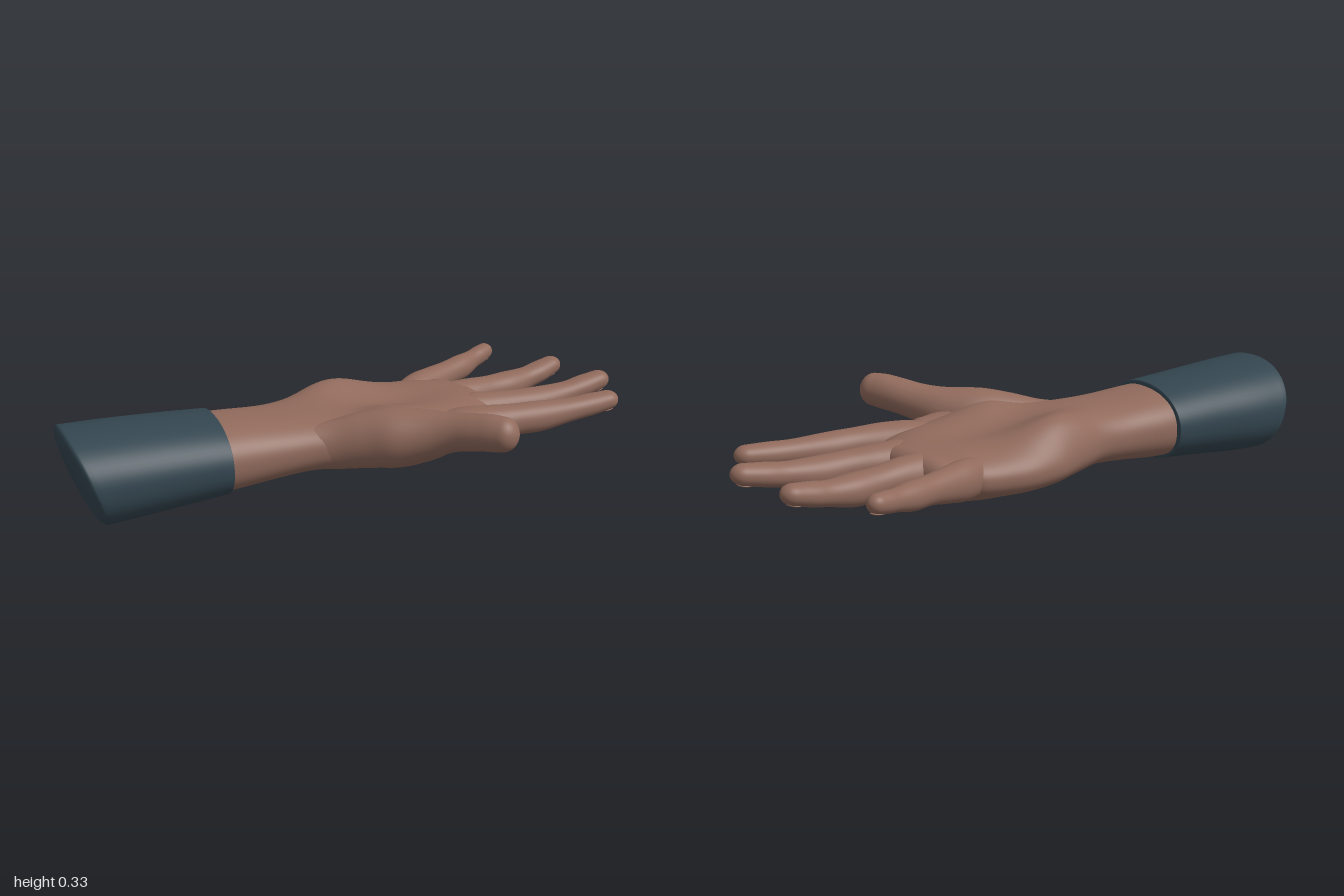
import * as THREE from 'three';

const skin = new THREE.MeshStandardMaterial({ color: 0x906a5c });
skin.name = 'warm brown skin';
const cloth = new THREE.MeshStandardMaterial({ color: 0x33454f });
cloth.name = 'dark slate cloth';

const Y = new THREE.Vector3(0, 1, 0);
const bell = (x, c, s) => Math.exp(-(((x - c) / s) ** 2));

// Smooth closed body through sections [x, y, z, halfWidth, halfHeight, roll],
// with a domed cap at either end and an optional vertex rule.
function loft(name, secs, { mat = skin, power = 2, cap0 = 0.03, cap1 = 0.03, round = 1, steps = 6, sides = 40, warp } = {}) {
  const curve = (f) => new THREE.CatmullRomCurve3(secs.map(f), false, 'catmullrom', 0.5);
  const path = curve((s) => new THREE.Vector3(s[0], s[1], s[2]));
  const size = curve((s) => new THREE.Vector3(s[3], s[4], s[5] || 0));
  const rings = [];
  const capSteps = 8;
  const addCap = (t, len, k) => {
    const a = (k / capSteps) * Math.PI / 2;
    rings.push([t, len * Math.sin(a), Math.max(0.002, Math.cos(a) ** round)]);
  };
  for (let k = capSteps; k > 0; k--) addCap(0, -cap0, k);
  const n = (secs.length - 1) * steps;
  for (let i = 0; i <= n; i++) rings.push([i / n, 0, 1]);
  for (let k = 1; k <= capSteps; k++) addCap(1, cap1, k);

  const pos = [], index = [];
  const sp = (v) => Math.sign(v) * Math.abs(v) ** (2 / power);
  rings.forEach(([t, shift, scale], i) => {
    const T = path.getTangent(t);
    const c = path.getPoint(t).addScaledVector(T, shift);
    const d = size.getPoint(t);
    const S = new THREE.Vector3().crossVectors(T, Y).normalize();
    const U = new THREE.Vector3().crossVectors(S, T);
    S.applyAxisAngle(T, -d.z);
    U.applyAxisAngle(T, -d.z);
    for (let j = 0; j < sides; j++) {
      const a = (j / sides) * Math.PI * 2;
      const v = c.clone()
        .addScaledVector(S, sp(Math.cos(a)) * d.x * scale)
        .addScaledVector(U, sp(Math.sin(a)) * d.y * scale);
      if (warp) warp(v);
      pos.push(v.x, v.y, v.z);
      if (i < rings.length - 1) {
        const p = i * sides + j, q = i * sides + (j + 1) % sides;
        index.push(p, p + sides, q, q, p + sides, q + sides);
      }
    }
  });
  const g = new THREE.BufferGeometry();
  g.setAttribute('position', new THREE.Float32BufferAttribute(pos, 3));
  g.setIndex(index);
  g.computeVertexNormals();
  const m = new THREE.Mesh(g, mat);
  m.name = name;
  return m;
}

// Hollow of the palm, the two heel mounds and tendon ridges on the back of the hand
function shapePalm(v) {
  const top = THREE.MathUtils.smoothstep(v.y, 0.16, 0.24);
  const under = 1 - THREE.MathUtils.smoothstep(v.y, 0.08, 0.15);
  v.y -= top * 0.024 * bell(v.x, -0.07, 0.1) * bell(v.z, -0.17, 0.2);
  v.y += top * 0.046 * bell(v.x, -0.27, 0.09) * bell(v.z, -0.03, 0.15);
  v.y += top * 0.034 * bell(v.x, 0.06, 0.09) * bell(v.z, -0.04, 0.12);
  for (const x of [-0.23, -0.11, 0.0, 0.1])
    v.y -= under * 0.008 * bell(v.x, x, 0.03) * bell(v.z, -0.34, 0.2);
}

// Slanted cuff end: the upper edge reaches further back than the lower
function slantCuff(v) {
  v.z += 0.3 * (v.y - 0.165) * THREE.MathUtils.smoothstep(v.z, 0.55, 0.9);
}

// Finger sections run from inside the palm to the tip
const fingers = {
  littleFinger: [
    [-0.2, 0.155, -0.26, 0.05, 0.05], [-0.255, 0.166, -0.4, 0.058, 0.066], [-0.277, 0.176, -0.49, 0.052, 0.058],
    [-0.295, 0.186, -0.58, 0.046, 0.047], [-0.311, 0.192, -0.66, 0.045, 0.046], [-0.328, 0.202, -0.73, 0.035, 0.036],
    [-0.337, 0.209, -0.77, 0.035, 0.035], [-0.345, 0.216, -0.806, 0.032, 0.031]],
  ringFinger: [
    [-0.11, 0.155, -0.32, 0.055, 0.055], [-0.108, 0.155, -0.46, 0.068, 0.077], [-0.105, 0.166, -0.54, 0.062, 0.064],
    [-0.103, 0.169, -0.63, 0.054, 0.052], [-0.1, 0.168, -0.72, 0.056, 0.053], [-0.099, 0.179, -0.81, 0.045, 0.041],
    [-0.097, 0.191, -0.87, 0.046, 0.039], [-0.097, 0.205, -0.93, 0.04, 0.034]],
  middleFinger: [
    [0.0, 0.155, -0.3, 0.055, 0.055], [0.028, 0.158, -0.44, 0.07, 0.077], [0.05, 0.168, -0.52, 0.064, 0.064],
    [0.075, 0.172, -0.61, 0.056, 0.054], [0.096, 0.17, -0.71, 0.056, 0.054], [0.116, 0.185, -0.82, 0.045, 0.041],
    [0.126, 0.198, -0.89, 0.046, 0.039], [0.136, 0.211, -0.957, 0.041, 0.035]],
  indexFinger: [
    [0.08, 0.165, -0.18, 0.065, 0.055], [0.138, 0.172, -0.31, 0.072, 0.073], [0.18, 0.181, -0.4, 0.066, 0.066],
    [0.21, 0.187, -0.49, 0.056, 0.055], [0.234, 0.186, -0.58, 0.055, 0.054], [0.264, 0.193, -0.7, 0.045, 0.042],
    [0.282, 0.2, -0.78, 0.045, 0.039], [0.297, 0.207, -0.848, 0.04, 0.034]],
};

export function createModel() {
  const root = new THREE.Group();
  root.name = 'openHand';

  // Sleeve
  root.add(loft('sleeve', [
    [-0.282, 0.166, 0.935, 0.22, 0.164], [-0.263, 0.166, 0.82, 0.217, 0.159],
    [-0.237, 0.166, 0.68, 0.209, 0.149], [-0.202, 0.166, 0.49, 0.201, 0.134],
  ], { mat: cloth, power: 2.15, cap0: 0.03, cap1: 0.008, round: 0.45, sides: 64, warp: slantCuff }));

  // Forearm and palm
  root.add(loft('forearmAndPalm', [
    [-0.215, 0.165, 0.57, 0.184, 0.122], [-0.195, 0.165, 0.45, 0.184, 0.119], [-0.165, 0.167, 0.3, 0.18, 0.107],
    [-0.142, 0.17, 0.18, 0.19, 0.102], [-0.125, 0.166, 0.08, 0.226, 0.104], [-0.105, 0.161, -0.03, 0.267, 0.102, 0.02],
    [-0.086, 0.158, -0.15, 0.28, 0.1, 0.03], [-0.073, 0.157, -0.27, 0.264, 0.095, 0.03],
    [-0.072, 0.16, -0.38, 0.236, 0.086, 0.02], [-0.08, 0.163, -0.455, 0.185, 0.073, 0.01],
  ], { power: 2.3, cap0: 0.01, cap1: 0.058, round: 0.7, sides: 80, steps: 8, warp: shapePalm }));

  // Thumb, rising out of the wrist through the mound at its base
  root.add(loft('thumb', [
    [-0.06, 0.165, 0.27, 0.06, 0.075], [0.0, 0.175, 0.15, 0.07, 0.085], [0.06, 0.19, 0.055, 0.089, 0.099],
    [0.123, 0.205, -0.025, 0.103, 0.102], [0.205, 0.223, -0.1, 0.086, 0.085], [0.285, 0.245, -0.15, 0.067, 0.067],
    [0.36, 0.262, -0.188, 0.063, 0.063], [0.41, 0.27, -0.212, 0.06, 0.063], [0.447, 0.274, -0.23, 0.056, 0.059],
  ], { cap0: 0.06, cap1: 0.052, steps: 8 }));

  // Web of flesh between thumb and index finger
  root.add(loft('thumbWeb', [
    [0.03, 0.155, 0.05, 0.07, 0.07], [0.09, 0.162, -0.06, 0.095, 0.085],
    [0.135, 0.172, -0.16, 0.095, 0.075], [0.155, 0.178, -0.24, 0.07, 0.06],
  ], { cap0: 0.05, cap1: 0.06 }));

  // Fingers and their nails on the underside
  const nailGeo = new THREE.SphereGeometry(1, 20, 12);
  for (const [name, secs] of Object.entries(fingers)) {
    const tip = secs[secs.length - 1], prev = secs[secs.length - 2];
    root.add(loft(name, secs, { cap1: tip[3] * 1.05 + 0.002, cap0: 0.04, power: 2.1 }));
    const nail = new THREE.Mesh(nailGeo, skin);
    nail.name = name + 'Nail';
    nail.scale.set(tip[3] * 0.6, 0.005, 0.028);
    nail.position.set(tip[0], tip[1] - tip[4] * 0.94, tip[2]);
    nail.lookAt(2 * tip[0] - prev[0], nail.position.y + tip[1] - prev[1], 2 * tip[2] - prev[2]);
    root.add(nail);
  }
  return root;
}
